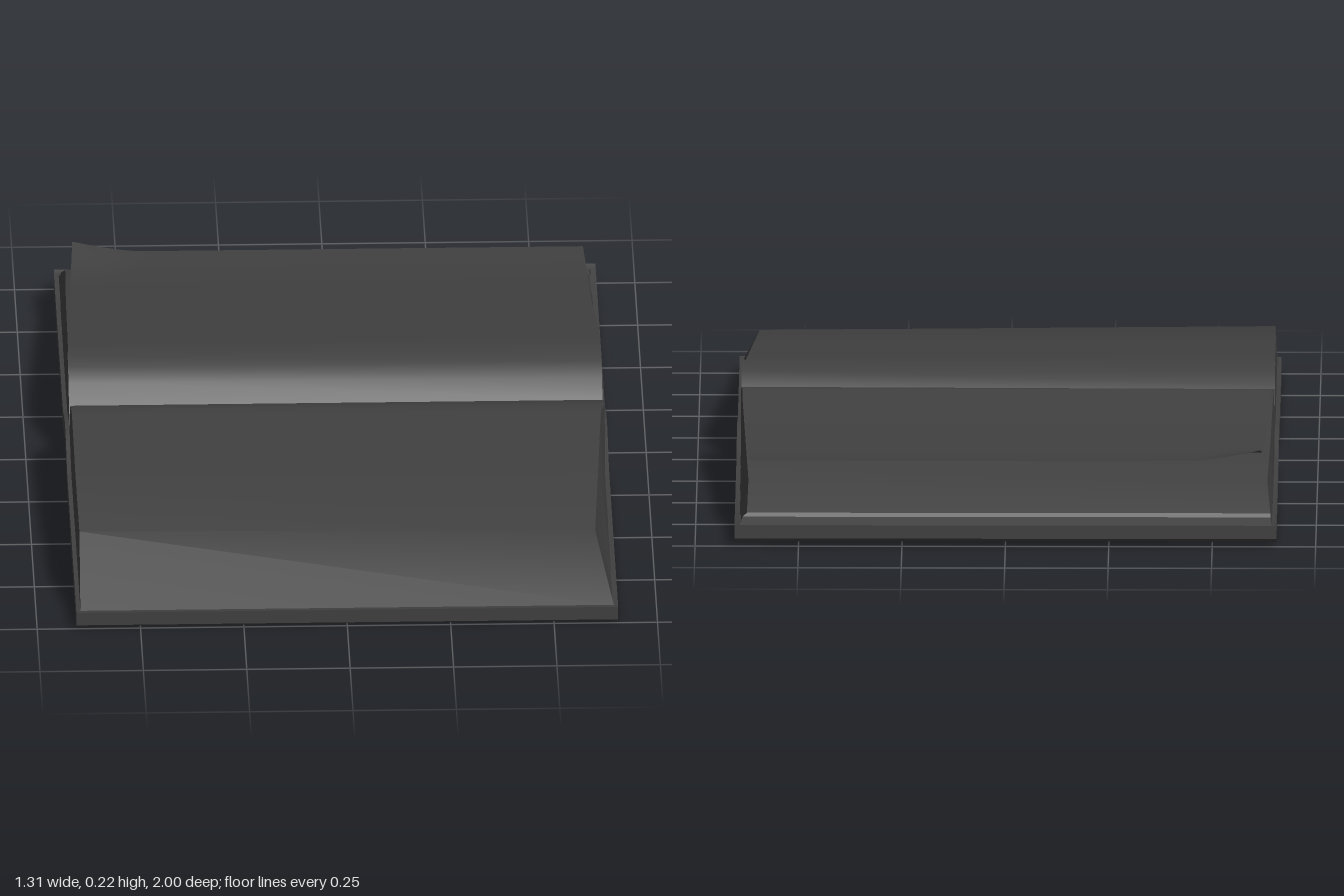
import * as THREE from 'three';
import { toCreasedNormals } from 'three/addons/utils/BufferGeometryUtils.js';

const material = new THREE.MeshStandardMaterial({ color: 0x404040 });
const sheetMaterial = new THREE.MeshStandardMaterial({ color: 0x404040, side: THREE.DoubleSide });

// Skins four-cornered cross-sections running from +z to -z.
// Section: [z, bottom y, top y at -x, top y at +x, top x at -x, top x at +x]
function loft(name, sections, halfWidth, crease) {
  const positions = [];
  const index = [];
  sections.forEach(([z, bottom, topL, topR = topL, xL = -halfWidth, xR = halfWidth], i) => {
    positions.push(-halfWidth, bottom, z, halfWidth, bottom, z, xR, topR, z, xL, topL, z);
    if (i === 0) return;
    const p = (i - 1) * 4;
    for (let j = 0; j < 4; j++) {
      const k = (j + 1) % 4;
      index.push(p + j, p + 4 + k, p + k, p + j, p + 4 + j, p + 4 + k);
    }
  });
  const e = (sections.length - 1) * 4;
  index.push(0, 1, 2, 0, 2, 3, e, e + 2, e + 1, e, e + 3, e + 2);
  const geometry = new THREE.BufferGeometry();
  geometry.setAttribute('position', new THREE.Float32BufferAttribute(positions, 3));
  geometry.setIndex(index);
  const mesh = new THREE.Mesh(toCreasedNormals(geometry, crease), material);
  mesh.name = name;
  return mesh;
}

// Single lifted page with one curled corner
function loosePage() {
  const path = new THREE.CatmullRomCurve3([
    [-0.19, 0.219], [-0.35, 0.203], [-0.5, 0.188], [-0.65, 0.176], [-0.75, 0.173], [-0.83, 0.178],
  ].map(([z, y]) => new THREE.Vector3(0, y, z)));
  const geometry = new THREE.PlaneGeometry(1, 1, 32, 32);
  const pos = geometry.attributes.position;
  for (let i = 0; i < pos.count; i++) {
    const u = pos.getX(i) + 0.5;
    const v = pos.getY(i) + 0.5;
    const p = path.getPoint(v);
    const x = THREE.MathUtils.lerp(-0.638 + 0.023 * v, 0.638 - 0.018 * v, u);
    const curl = Math.max(0, 1 - Math.hypot(x + 0.615, p.z + 0.83) / 0.16);
    pos.setXYZ(i, x, p.y + 0.027 * curl ** 1.4, p.z);
  }
  geometry.computeVertexNormals();
  const mesh = new THREE.Mesh(geometry, sheetMaterial);
  mesh.name = 'loosePage';
  return mesh;
}

export function createModel() {
  const book = new THREE.Group();
  book.name = 'openBook';

  // Cover, arched over the spine
  book.add(loft('cover', [
    [1, 0.012, 0.045], [0.985, 0.003, 0.043], [0.6, 0.004, 0.044], [0.2, 0.007, 0.046],
    [0.16, 0.012, 0.052], [0.1, 0.032, 0.073], [0.05, 0.045, 0.086], [0, 0.051, 0.091],
    [-0.05, 0.042, 0.086], [-0.1, 0.028, 0.072], [-0.16, 0.015, 0.054], [-0.2, 0.01, 0.048],
    [-0.6, 0.01, 0.047], [-0.985, 0.012, 0.048], [-1, 0.022, 0.055],
  ], 0.655, 0.5));

  // Page block on the front half, with a slanted fore edge and a bevelled corner
  book.add(loft('frontPages', [
    [0.985, 0.035, 0.042], [0.79, 0.035, 0.166, 0.155, -0.642, 0.605],
    [0.5, 0.035, 0.189, 0.181, -0.644, 0.62], [0.26, 0.035, 0.207, 0.202, -0.644, 0.632],
    [0.2, 0.04, 0.211, 0.207, -0.644, 0.635], [0.165, 0.045, 0.209, 0.207],
    [0.12, 0.055, 0.198], [0.075, 0.068, 0.174], [0.03, 0.08, 0.127], [0, 0.085, 0.091],
  ], 0.645, 0.45));

  // Page block on the back half, lower at its fore edge
  book.add(loft('backPages', [
    [0, 0.085, 0.091], [-0.03, 0.08, 0.135], [-0.065, 0.07, 0.175], [-0.105, 0.058, 0.2],
    [-0.145, 0.048, 0.21, 0.214], [-0.19, 0.04, 0.212, 0.218, -0.643, 0.641],
    [-0.26, 0.038, 0.206, 0.209, -0.642, 0.64], [-0.55, 0.038, 0.169, 0.171, -0.638, 0.631],
    [-0.83, 0.038, 0.131, 0.131, -0.632, 0.622], [-0.94, 0.038, 0.073, 0.073, -0.64, 0.625],
    [-0.945, 0.038, 0.064, 0.064, -0.64, 0.635], [-0.985, 0.038, 0.046],
  ], 0.645, 0.45));

  book.add(loosePage());
  return book;
}
